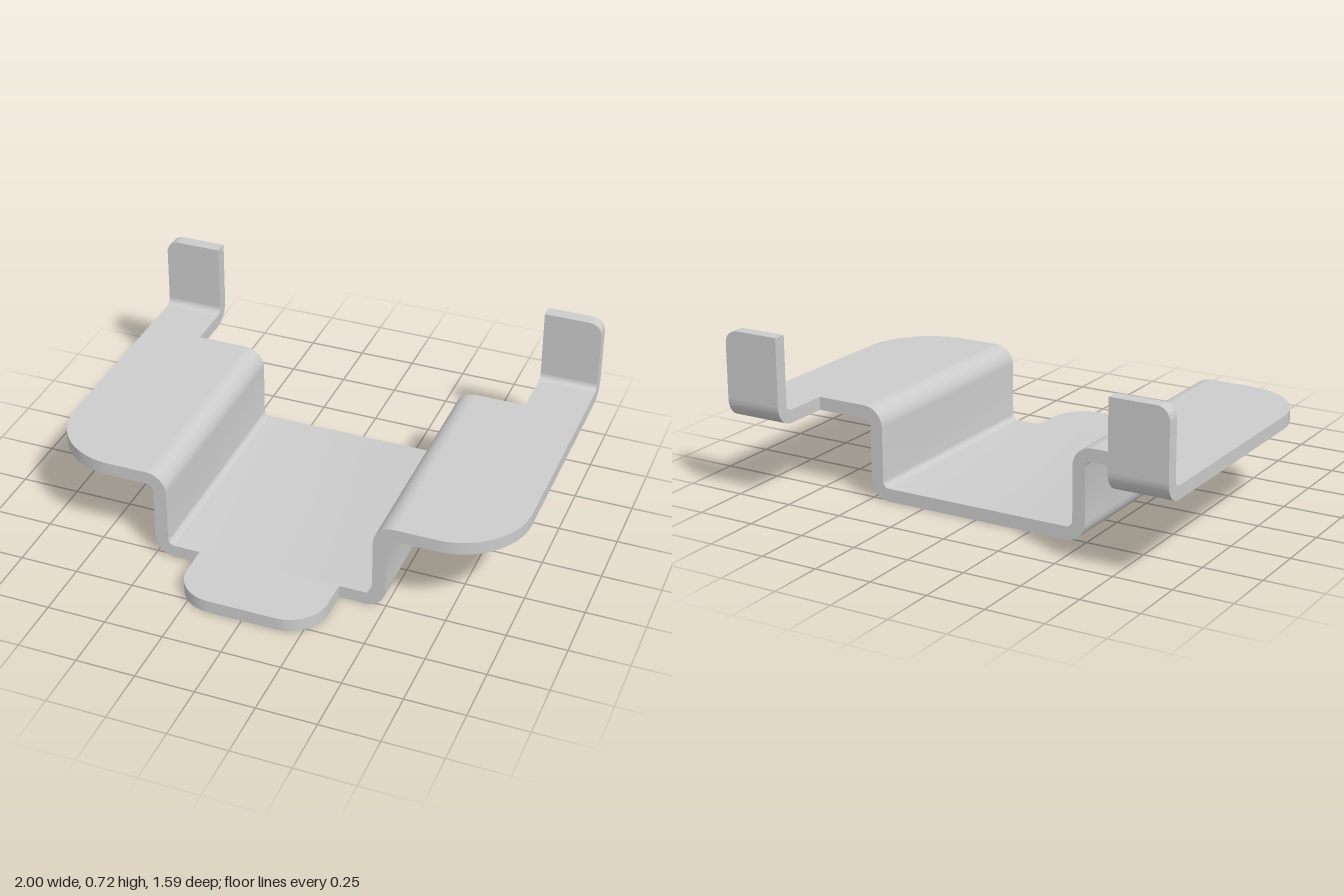
import * as THREE from 'three';
import { toCreasedNormals } from 'three/addons/utils/BufferGeometryUtils.js';

const T = 0.056;              // sheet thickness
const R = 0.085, r = R - T;   // outer and inner bend radii
const TOP = 0.396;            // upper face of the wings
const UNDER = TOP - T;
const Z = 0.515, ZE = 0.796;  // half depth of the body, and overall
const WALL = 0.5;             // outer face of the channel walls
const WING = WALL + r;        // where the flat part of a wing starts
const ARM = 0.75;             // inner edge of the rear arms
const BEND = ZE - R;          // where the rear bend starts

const material = new THREE.MeshStandardMaterial({ color: 0xcccccc });

// Closed outline from right-angled corners [x, y, radius]
function outline(corners) {
  const n = corners.length, pts = [];
  corners.forEach(([x, y, rad = 0], i) => {
    const p = new THREE.Vector2(x, y);
    if (!rad) return pts.push(p);
    const toward = ([a, b]) => new THREE.Vector2(a, b).sub(p).normalize();
    const u = toward(corners[(i + n - 1) % n]), v = toward(corners[(i + 1) % n]);
    const c = p.clone().addScaledVector(u, rad).addScaledVector(v, rad);
    const steps = rad > 0.1 ? 20 : 10;
    for (let k = 0; k <= steps; k++) {
      const t = (k / steps) * Math.PI / 2;
      pts.push(c.clone().addScaledVector(v, -rad * Math.cos(t)).addScaledVector(u, -rad * Math.sin(t)));
    }
  });
  return new THREE.Shape(pts);
}

const extrude = (corners, depth) =>
  new THREE.ExtrudeGeometry(outline(corners), { depth, bevelEnabled: false });

// Flat plate from a plan outline in (x, z)
const plate = (corners, y) =>
  extrude(corners.map(([x, z, rad]) => [x, -z, rad]), T).rotateX(-Math.PI / 2).translate(0, y, 0);

export function createModel() {
  const model = new THREE.Group();
  const add = (name, geometry) => {
    const mesh = new THREE.Mesh(toCreasedNormals(geometry, 0.5), material);
    mesh.name = name;
    model.add(mesh);
  };

  // Folded channel: floor, two walls and the bends into the wings
  const upper = [[WING, TOP], [WALL - T, TOP, R], [WALL - T, T, r]];
  const lower = [[WALL, 0, R], [WALL, UNDER, r], [WING, UNDER]];
  const flip = (list) => list.map(([x, y, rad]) => [-x, y, rad]).reverse();
  add('channel', extrude([...upper, ...flip(upper), ...flip(lower), ...lower], 2 * Z).translate(0, 0, -Z));

  // Rounded tongue at the front of the floor
  add('frontTongue', plate([[-0.304, Z], [-0.304, ZE, 0.16], [0.304, ZE, 0.16], [0.304, Z]], 0));

  for (const [side, s] of [['left', 1], ['right', -1]]) {
    // Wing with a large front corner and a narrow rear arm
    add(side + 'Wing', plate([
      [s * WING, Z], [s, Z, 0.3], [s, -BEND], [s * ARM, -BEND], [s * ARM, -Z], [s * WING, -Z],
    ], UNDER));

    // Bend turning the arm upwards, profile in (z, y)
    const bendTop = UNDER + R;
    const bend = extrude([
      [-BEND, UNDER], [-BEND, TOP], [-ZE + T, TOP, r], [-ZE + T, bendTop], [-ZE, bendTop], [-ZE, UNDER, R],
    ], 1 - ARM).rotateY(-Math.PI / 2);
    add(side + 'Bend', bend.translate(s > 0 ? 1 : -ARM, 0, 0));

    // Upright tab with its outer top corner rounded
    add(side + 'Tab', extrude([
      [s * ARM, bendTop], [s, bendTop], [s, 0.717, 0.055], [s * ARM, 0.717],
    ], T).translate(0, 0, -ZE));
  }
  return model;
}
